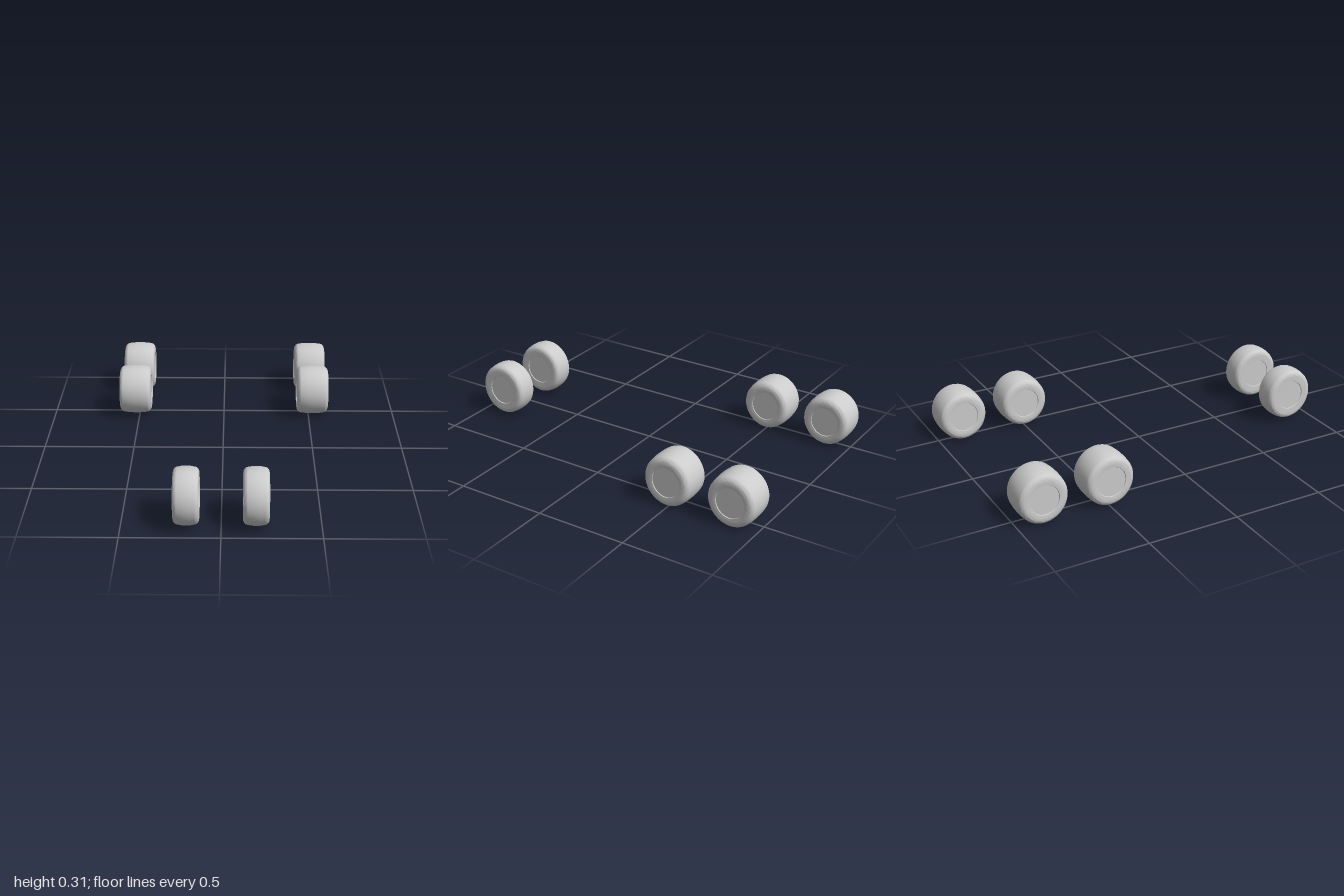
import * as THREE from 'three';
import { toCreasedNormals } from 'three/addons/utils/BufferGeometryUtils.js';

const material = new THREE.MeshStandardMaterial({ color: 0xcccccc });

// Tyre turned about the x axis: barrel tread, rounded shoulders, shallow hub recess
function tyreGeometry(radius, width, shoulder, hubRadius) {
  const h = width / 2, dip = 0.005, tread = radius - 0.004;
  const half = [
    [0, h - dip],
    [hubRadius - 0.002, h - dip],
    [hubRadius, h - 0.001],
    [tread - shoulder * 1.3, h],
  ];
  for (let i = 0; i <= 6; i++) {
    const a = (i / 6) * Math.PI / 2;
    half.push([tread - shoulder * (1 - Math.sin(a)), h - shoulder * (1 - Math.cos(a))]);
  }
  half.push([radius - 0.001, h * 0.35]);
  const other = half.slice().reverse().map(([r, x]) => [r, -x]);
  const points = [...half, [radius, 0], ...other].reverse()
    .map(([r, x]) => new THREE.Vector2(r, x));
  const geometry = new THREE.LatheGeometry(points, 48);
  geometry.rotateZ(-Math.PI / 2);
  return toCreasedNormals(geometry, 0.6);
}

export function createModel() {
  const group = new THREE.Group();
  const front = tyreGeometry(0.143, 0.13, 0.026, 0.08);
  const rear = tyreGeometry(0.137, 0.183, 0.031, 0.08);

  // Each axle: geometry, half track, height and depth of centre
  const axles = [
    ['frontWheel', front, 0.173, 0.162, 0.857],
    ['middleWheel', rear, 0.521, 0.147, -0.495],
    ['rearWheel', rear, 0.521, 0.147, -0.863],
  ];
  for (const [name, geometry, x, y, z] of axles) {
    for (const side of [1, -1]) {
      const wheel = new THREE.Mesh(geometry, material);
      wheel.name = name + (side > 0 ? 'Left' : 'Right');
      wheel.position.set(side * x, y, z);
      wheel.scale.y = 1.04; // wheels are slightly taller than long
      group.add(wheel);
    }
  }
  return group;
}
